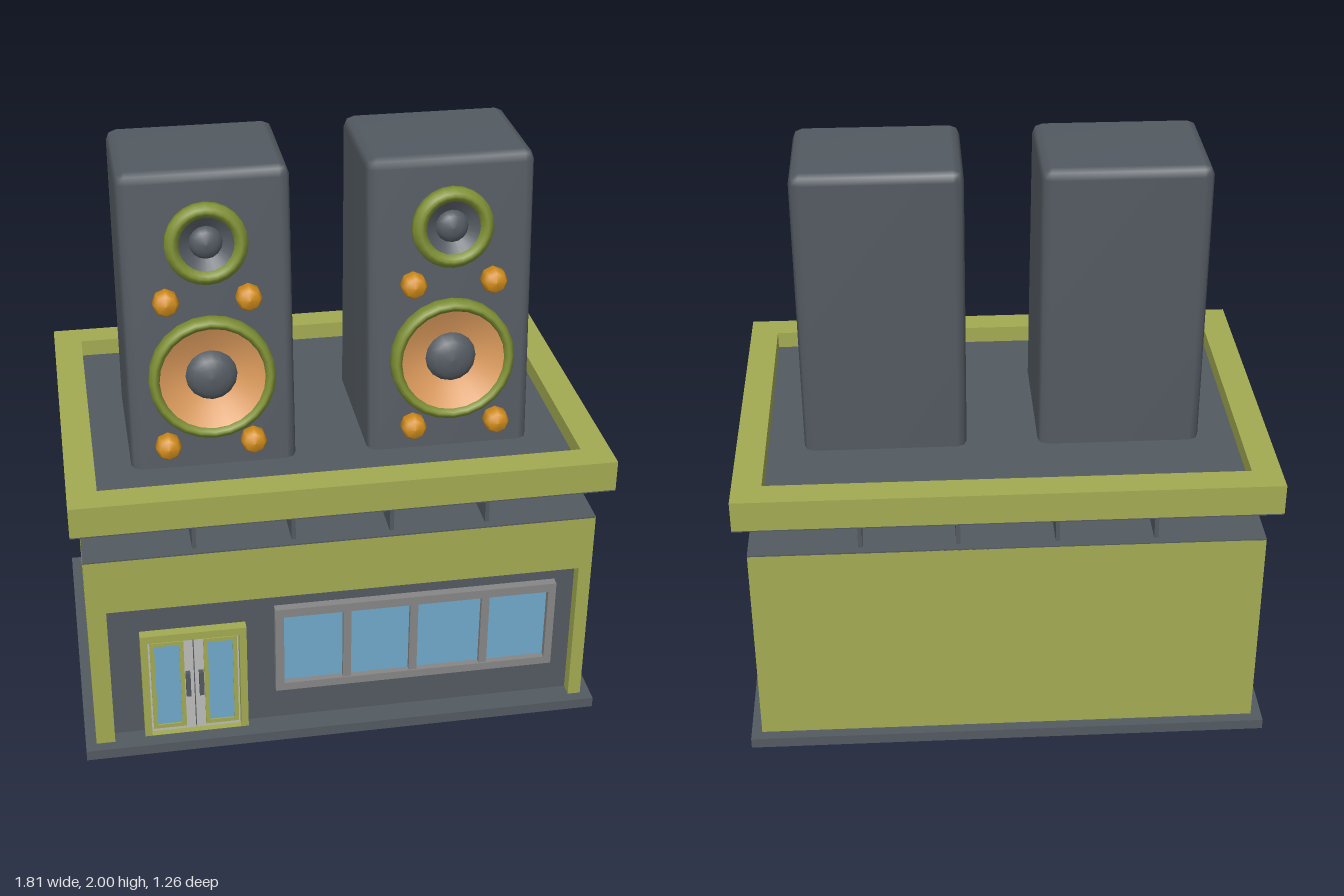
import * as THREE from 'three';
import { mergeVertices } from 'three/addons/utils/BufferGeometryUtils.js';
import { RoundedBoxGeometry } from 'three/addons/geometries/RoundedBoxGeometry.js';

const mat = (name, color, side = THREE.FrontSide) => {
  const m = new THREE.MeshStandardMaterial({ color, side });
  m.name = name;
  return m;
};

export function createModel() {
  const olive = mat('olive', 0xa3ab52);
  const slate = mat('slate', 0x535a61);
  const moss = mat('moss green', 0x7f9035);
  const amber = mat('amber', 0xd18c1c);
  const copper = mat('copper', 0xdb9a5c);
  const glass = mat('glass blue', 0x70a9ca);
  const grey = mat('frame grey', 0x868686);
  const silver = mat('door silver', 0xbdbdbb);

  const model = new THREE.Group();
  model.name = 'speakerShop';

  const add = (parent, name, geo, material, x = 0, y = 0, z = 0) => {
    const m = new THREE.Mesh(geo, material);
    m.name = name;
    m.position.set(x, y, z);
    parent.add(m);
    return m;
  };
  const group = (parent, name, x = 0, y = 0, z = 0) => {
    const g = new THREE.Group();
    g.name = name;
    g.position.set(x, y, z);
    parent.add(g);
    return g;
  };
  // box given by its limits
  const box = (parent, name, material, x0, x1, y0, y1, z0, z1) =>
    add(parent, name, new THREE.BoxGeometry(x1 - x0, y1 - y0, z1 - z0), material,
      (x0 + x1) / 2, (y0 + y1) / 2, (z0 + z1) / 2);
  // rectangular panel with a rectangular hole, limits as [x0, x1, y0, y1]
  const frame = (outer, hole, depth) => {
    const pts = ([x0, x1, y0, y1]) => [[x0, y0], [x1, y0], [x1, y1], [x0, y1]].map(p => new THREE.Vector2(...p));
    const shape = new THREE.Shape(pts(outer));
    shape.holes.push(new THREE.Path(pts(hole)));
    return new THREE.ExtrudeGeometry(shape, { depth, bevelEnabled: false });
  };
  // turned part facing +z
  const turned = (profile, segments) =>
    new THREE.LatheGeometry(profile.map(p => new THREE.Vector2(...p)), segments).rotateX(Math.PI / 2);

  // ---- Building body ----
  box(model, 'baseSlab', slate, -0.907, 0.907, 0, 0.038, -0.6, 0.6);
  box(model, 'bodyCore', olive, -0.83, 0.83, 0.038, 0.792, -0.5625, 0.512);
  box(model, 'shopfrontWall', slate, -0.83, 0.83, 0.038, 0.6, 0.505, 0.516);
  box(model, 'bodyTop', slate, -0.87, 0.87, 0.791, 0.796, -0.5625, 0.5625);
  box(model, 'frontHeader', olive, -0.87, 0.87, 0.588, 0.791, 0.512, 0.5625);
  box(model, 'frontJambRight', olive, -0.87, -0.805, 0.038, 0.588, 0.512, 0.5625);
  box(model, 'frontJambLeft', olive, 0.825, 0.87, 0.038, 0.588, 0.512, 0.5625);

  // side walls with recessed strip windows
  for (const s of [-1, 1]) {
    const side = group(model, s > 0 ? 'leftWall' : 'rightWall', s * 0.825);
    side.rotation.y = s * Math.PI / 2;
    const ends = [-0.512 * s, 0.5625 * s].sort((a, b) => a - b);
    add(side, 'sidePanel', frame([...ends, 0.038, 0.791], [-0.41, 0.41, 0.38, 0.52], 0.045), olive);
    add(side, 'sideWindowFrame', frame([-0.41, 0.41, 0.38, 0.52], [-0.38, 0.38, 0.415, 0.485], 0.025), grey);
    box(side, 'sideWindowGlass', glass, -0.385, 0.385, 0.41, 0.49, 0.002, 0.01);
  }

  // ---- Shop window ----
  const win = group(model, 'shopWindow', 0, 0, 0.516);
  add(win, 'windowFrame', frame([-0.235, 0.755, 0.175, 0.52], [-0.205, 0.728, 0.205, 0.487], 0.03), grey);
  for (const x of [0.017, 0.252, 0.505]) box(win, 'mullion', grey, x - 0.014, x + 0.014, 0.205, 0.487, 0, 0.025);
  box(win, 'windowGlass', glass, -0.21, 0.733, 0.2, 0.49, 0, 0.007);

  // ---- Double door ----
  const door = group(model, 'entrance', -0.517, 0, 0.516);
  add(door, 'doorSurround', frame([-0.182, 0.182, 0.038, 0.465], [-0.157, 0.157, 0.0385, 0.436], 0.035), olive);
  for (const s of [-1, 1]) {
    const leaf = group(door, 'doorLeaf', s * 0.079);
    box(leaf, 'doorPanel', silver, -0.077, 0.077, 0.038, 0.436, 0, 0.012);
    const c = s * 0.013;
    add(leaf, 'paneTrim', frame([c - 0.058, c + 0.058, 0.055, 0.422], [c - 0.043, c + 0.043, 0.07, 0.408], 0.01), olive, 0, 0, 0.01);
    box(leaf, 'doorGlass', glass, c - 0.044, c + 0.044, 0.069, 0.409, 0.008, 0.015);
    box(leaf, 'doorHandle', slate, -s * 0.056 - 0.008, -s * 0.056 + 0.008, 0.19, 0.288, 0.01, 0.03);
  }

  // ---- Louvred gap under the roof ----
  box(model, 'neckCore', slate, -0.68, 0.68, 0.795, 0.942, -0.37, 0.37);
  for (const x of [-0.5, -0.167, 0.167, 0.495]) box(model, 'frontFin', slate, x - 0.007, x + 0.007, 0.795, 0.942, -0.533, 0.533);
  for (const z of [-0.26, 0, 0.26]) box(model, 'sideFin', slate, -0.843, 0.843, 0.795, 0.942, z - 0.007, z + 0.007);

  // ---- Roof ----
  box(model, 'roofSoffit', slate, -0.905, 0.905, 0.938, 0.942, -0.63, 0.63);
  box(model, 'roofDeck', slate, -0.81, 0.81, 0.941, 0.99, -0.535, 0.535);
  const rim = add(model, 'roofRim', frame([-0.905, 0.905, -0.63, 0.63], [-0.806, 0.806, -0.531, 0.531], 0.108), olive, 0, 0.942);
  rim.rotation.x = -Math.PI / 2;

  // ---- Loudspeakers ----
  const frontZ = y => 0.32 - 0.105 * (y - 1.05);
  let cabinet = new RoundedBoxGeometry(0.558, 1.05, 0.5, 1, 0.034);
  cabinet.deleteAttribute('uv');
  cabinet.deleteAttribute('normal');
  cabinet = mergeVertices(cabinet, 1e-4);
  // slope the front face back towards the top
  const p = cabinet.attributes.position;
  for (let i = 0; i < p.count; i++) {
    const y = p.getY(i) + 1.475, t = p.getZ(i) / 0.5 + 0.5;
    p.setXYZ(i, p.getX(i), y, -0.225 + t * (frontZ(y) + 0.225));
  }
  cabinet.computeVertexNormals();

  // ring with rounded lip: outer radius, inner radius, back, front
  const ring = (R, r, b, f) => {
    const e = (R - r) * 0.3;
    return turned([[R - e, b], [R, b + e], [R, f - e * 1.5], [R - e, f - e * 0.3], [(R + r) / 2, f],
      [r + e, f - e * 0.3], [r, f - e * 1.5], [r, b], [R - e, b]], 24);
  };
  const dome = (r, h) => turned([0, 1, 2, 3, 4].map(i => {
    const a = i * Math.PI / 8;
    return [i === 4 ? 0 : r * Math.cos(a), h * Math.sin(a)];
  }), 16);
  const knob = turned([[0, 0], [0.034, 0], [0.043, 0.012], [0.043, 0.045], [0.032, 0.064], [0, 0.072]], 8);

  for (const s of [-1, 1]) {
    const speaker = group(model, s > 0 ? 'leftSpeaker' : 'rightSpeaker', s * 0.402);
    add(speaker, 'cabinet', cabinet, slate);
    const face = group(speaker, 'speakerFace', 0, 1.05, frontZ(1.05));
    face.rotation.x = -0.115;

    const tweeter = group(face, 'tweeter', 0, 0.724);
    add(tweeter, 'tweeterRing', ring(0.135, 0.088, 0.004, 0.064), moss);
    add(tweeter, 'tweeterCone', turned([[0.09, 0.045], [0.045, 0.01]], 24), slate);
    add(tweeter, 'tweeterDome', dome(0.056, 0.04), slate, 0, 0, 0.012);

    const woofer = group(face, 'woofer', 0, 0.27);
    add(woofer, 'wooferRing', ring(0.209, 0.173, 0.012, 0.074), moss);
    add(woofer, 'wooferCone', turned([[0.176, 0.06], [0.12, 0.03], [0.07, 0.012]], 24), copper);
    add(woofer, 'wooferDome', dome(0.087, 0.05), slate, 0, 0, 0.014);

    for (const [x, y] of [[0.139, 0.536], [-0.13, 0.536], [0.155, 0.034], [-0.13, 0.034]])
      add(face, 'knob', knob, amber, s * x, y, 0.006);
  }
  return model;
}
